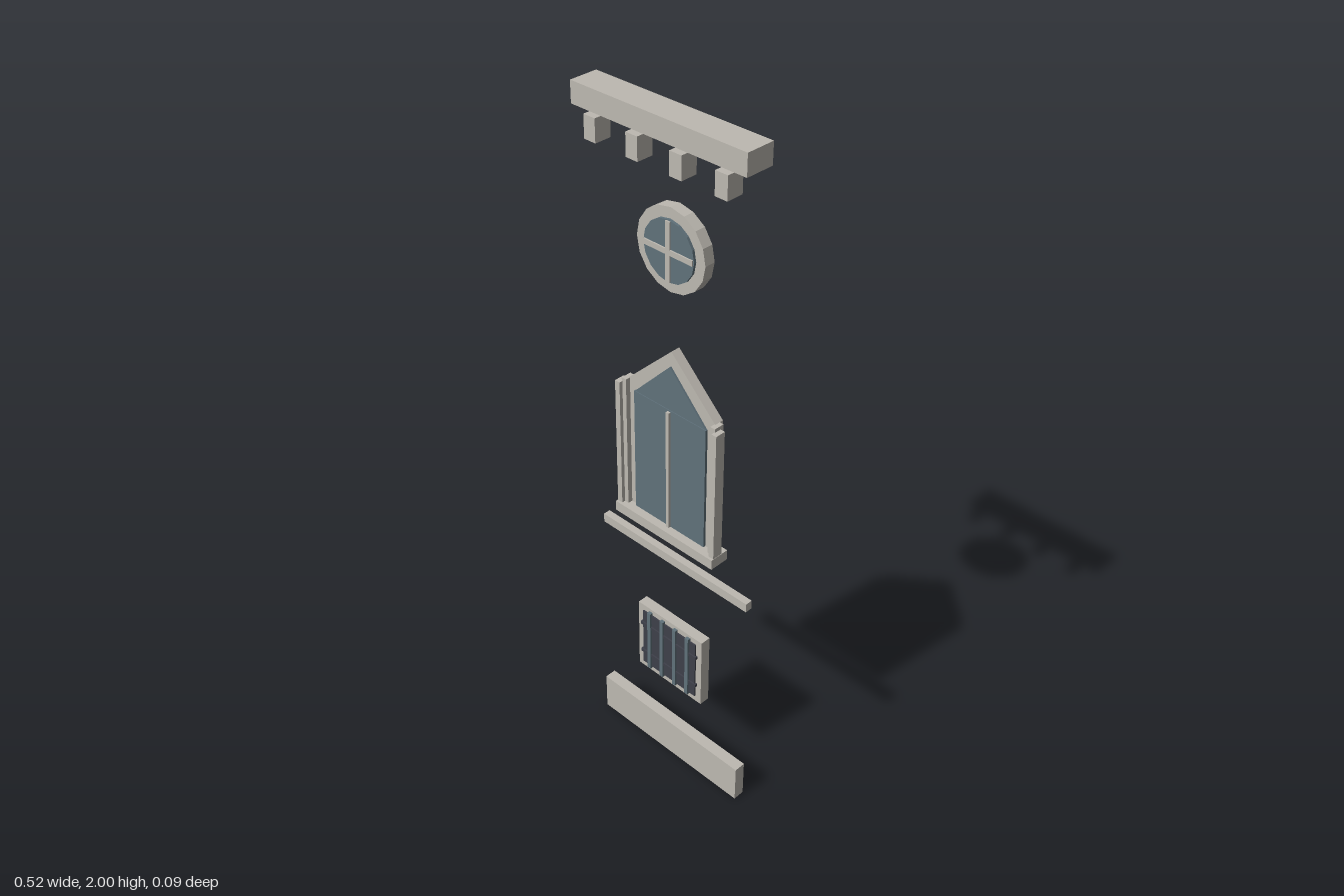
import * as THREE from 'three';

const mat = (name, color, flatShading = false) => {
  const m = new THREE.MeshStandardMaterial({ color });
  m.name = name;
  m.flatShading = flatShading;
  return m;
};

export function createModel() {
  const root = new THREE.Group();
  root.name = 'facadeParts';
  const stone = mat('stone', 0xbdb9b1, true);
  const glass = mat('glass', 0x60727b, true);
  const iron = mat('darkIron', 0x3e404a, true);
  const back = -0.041;

  const add = (parent, name, geometry, material) => {
    const mesh = new THREE.Mesh(geometry, material);
    mesh.name = name;
    parent.add(mesh);
    return mesh;
  };
  // Box given by its limits on each axis
  const box = (parent, name, material, x0, x1, y0, y1, z0, z1) => {
    const mesh = add(parent, name, new THREE.BoxGeometry(x1 - x0, y1 - y0, z1 - z0), material);
    mesh.position.set((x0 + x1) / 2, (y0 + y1) / 2, (z0 + z1) / 2);
    return mesh;
  };
  // Outline extruded from z0 to z1
  const slab = (parent, name, material, points, z0, z1) => {
    const shape = new THREE.Shape(points.map(([x, y]) => new THREE.Vector2(x, y)));
    const g = new THREE.ExtrudeGeometry(shape, { depth: z1 - z0, bevelEnabled: false });
    g.translate(0, 0, z0);
    return add(parent, name, g, material);
  };
  const group = (name) => {
    const g = new THREE.Group();
    g.name = name;
    root.add(g);
    return g;
  };

  // Plinth and string course
  box(root, 'plinth', stone, -0.262, 0.262, 0, 0.12, back, -0.007);
  box(root, 'stringCourse', stone, -0.262, 0.262, 0.714, 0.741, back, -0.02);

  // Cornice with four brackets
  const cornice = group('cornice');
  box(cornice, 'corniceBeam', stone, -0.262, 0.262, 1.945, 2, -0.042, 0.037);
  for (const x of [-0.198, -0.066, 0.066, 0.198])
    box(cornice, 'bracket', stone, x - 0.018, x + 0.018, 1.878, 1.937, -0.004, 0.043);

  // Round window: ring, glass and cross bars
  const round = group('roundWindow');
  const cy = 1.66;
  const ringShape = new THREE.Shape();
  const hole = new THREE.Path();
  const polygon = (path, r) => {
    for (let i = 0; i < 16; i++) {
      const a = (i / 16) * Math.PI * 2;
      path[i ? 'lineTo' : 'moveTo'](Math.cos(a) * r, Math.sin(a) * r);
    }
    path.closePath();
  };
  polygon(ringShape, 0.108);
  polygon(hole, 0.078);
  ringShape.holes.push(hole);
  const ringGeo = new THREE.ExtrudeGeometry(ringShape, { depth: 0.03, bevelEnabled: false });
  add(round, 'ring', ringGeo, stone).position.set(0, cy, back);
  const discGeo = new THREE.CylinderGeometry(0.08, 0.08, 0.04, 16).rotateX(Math.PI / 2);
  add(round, 'roundGlass', discGeo, glass).position.set(0, cy, -0.024);
  box(round, 'crossBarUpright', stone, -0.007, 0.007, cy - 0.077, cy + 0.077, -0.045, 0);
  box(round, 'crossBarLevel', stone, -0.077, 0.077, cy - 0.007, cy + 0.007, -0.045, 0);

  // Pointed window: stone surround, panes, mullion, jambs and sill
  const pointed = group('pointedWindow');
  slab(pointed, 'surround', stone,
    [[-0.146, 0.84], [0.146, 0.84], [0.146, 1.248], [0, 1.388], [-0.146, 1.248]], back, -0.014);
  slab(pointed, 'upperPane', glass, [[-0.122, 1.22], [0.122, 1.22], [0, 1.347]], -0.016, -0.009);
  box(pointed, 'lowerPane', glass, -0.122, 0.122, 0.855, 1.222, -0.016, -0.007);
  box(pointed, 'mullion', stone, -0.005, 0.005, 0.855, 1.218, -0.012, 0);
  for (const s of [-1, 1]) {
    const jamb = (name, a, b, top, z0, z1) =>
      box(pointed, name, stone, Math.min(s * a, s * b), Math.max(s * a, s * b), 0.855, top, z0, z1);
    jamb('outerJamb', 0.156, 0.172, 1.238, -0.02, 0.01);
    jamb('innerJamb', 0.143, 0.158, 1.248, -0.03, 0);
  }
  box(pointed, 'sill', stone, -0.173, 0.173, 0.827, 0.857, back, 0.017);

  // Cellar window with a grille
  const cellar = group('cellarWindow');
  box(cellar, 'cellarSurround', stone, -0.12, 0.12, 0.28, 0.513, back, -0.01);
  box(cellar, 'cellarPanel', iron, -0.1, 0.1, 0.3, 0.495, -0.015, -0.006);
  for (const x of [-0.072, -0.024, 0.024, 0.072])
    box(cellar, 'grilleUpright', glass, x - 0.006, x + 0.006, 0.295, 0.504, -0.012, 0);
  for (const y of [0.345, 0.45])
    box(cellar, 'grilleCrossbar', iron, -0.105, 0.105, y - 0.005, y + 0.005, -0.012, -0.002);

  return root;
}
